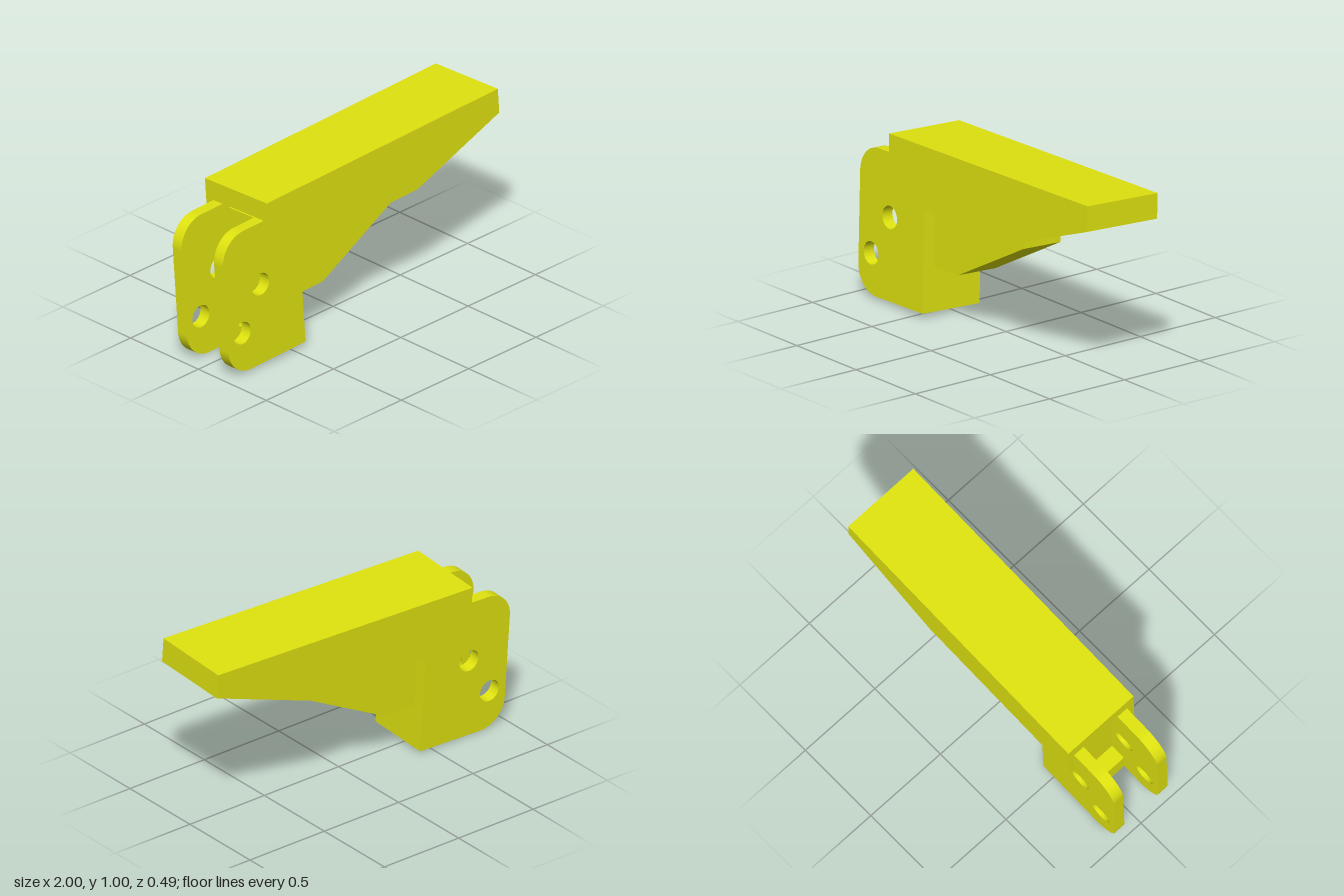
import * as THREE from 'three';

const material = new THREE.MeshStandardMaterial({ color: 0xdfe30f });

// Extrude a side profile across the width, from z0 to z1
function slab(name, shape, z0, z1) {
  const geometry = new THREE.ExtrudeGeometry(shape, { depth: z1 - z0, bevelEnabled: false, curveSegments: 16 });
  geometry.translate(0, 0, z0);
  const mesh = new THREE.Mesh(geometry, material);
  mesh.name = name;
  return mesh;
}

const polygon = (points) => new THREE.Shape(points.map(([x, y]) => new THREE.Vector2(x, y)));

// Side plate: two rounded corners on the outer end and two round holes
function plateShape() {
  const left = -0.977, right = -0.422, bottom = 0.033, top = 0.84, r = 0.155;
  const s = new THREE.Shape();
  s.moveTo(right, bottom);
  s.lineTo(right, top);
  s.lineTo(left + r, top);
  s.absarc(left + r, top - r, r, Math.PI / 2, Math.PI, false);
  s.lineTo(left, bottom + r);
  s.absarc(left + r, bottom + r, r, Math.PI, Math.PI * 1.5, false);
  s.closePath();
  for (const [x, y] of [[-0.718, 0.488], [-0.87, 0.26]]) {
    s.holes.push(new THREE.Path().absarc(x, y, 0.063, 0, Math.PI * 2, true));
  }
  return s;
}

export function createModel() {
  const model = new THREE.Group();
  model.name = 'hingedArm';

  // Tapered arm, with a pocket at the inner end that takes the plates
  const outer = [[0.403, 0.616], [1.021, 0.822], [1.021, 0.961], [-0.678, 0.961]];
  const full = [[-0.678, 0.616], ...outer];
  const pocketed = [[-0.42, 0.616], ...outer, [-0.678, 0.85], [-0.42, 0.85]];
  const arm = new THREE.Group();
  arm.name = 'arm';
  arm.add(
    slab('armBackWall', polygon(full), -0.191, -0.152),
    slab('armCore', polygon(pocketed), -0.152, 0.228),
    slab('armFrontWall', polygon(full), 0.228, 0.272),
  );

  // Pair of mounting plates
  const plates = new THREE.Group();
  plates.name = 'mountingPlates';
  plates.add(
    slab('backPlate', plateShape(), -0.15, -0.083),
    slab('frontPlate', plateShape(), 0.159, 0.226),
  );

  // Web between the plates, running on as a sloped brace under the arm
  const brace = slab('brace', polygon([
    [-0.71, 0.033], [-0.422, 0.033], [-0.422, 0.282], [-0.21, 0.282], [0.34, 0.553], [0.34, 0.618],
    [-0.422, 0.618], [-0.422, 0.8], [-0.62, 0.8], [-0.62, 0.18], [-0.71, 0.18],
  ]), -0.083, 0.16);

  // The whole assembly leans slightly
  const tilted = new THREE.Group();
  tilted.name = 'tiltedAssembly';
  tilted.rotation.set(-0.048, -0.0118, 0.031);
  tilted.add(arm, plates, brace);
  model.add(tilted);
  return model;
}
